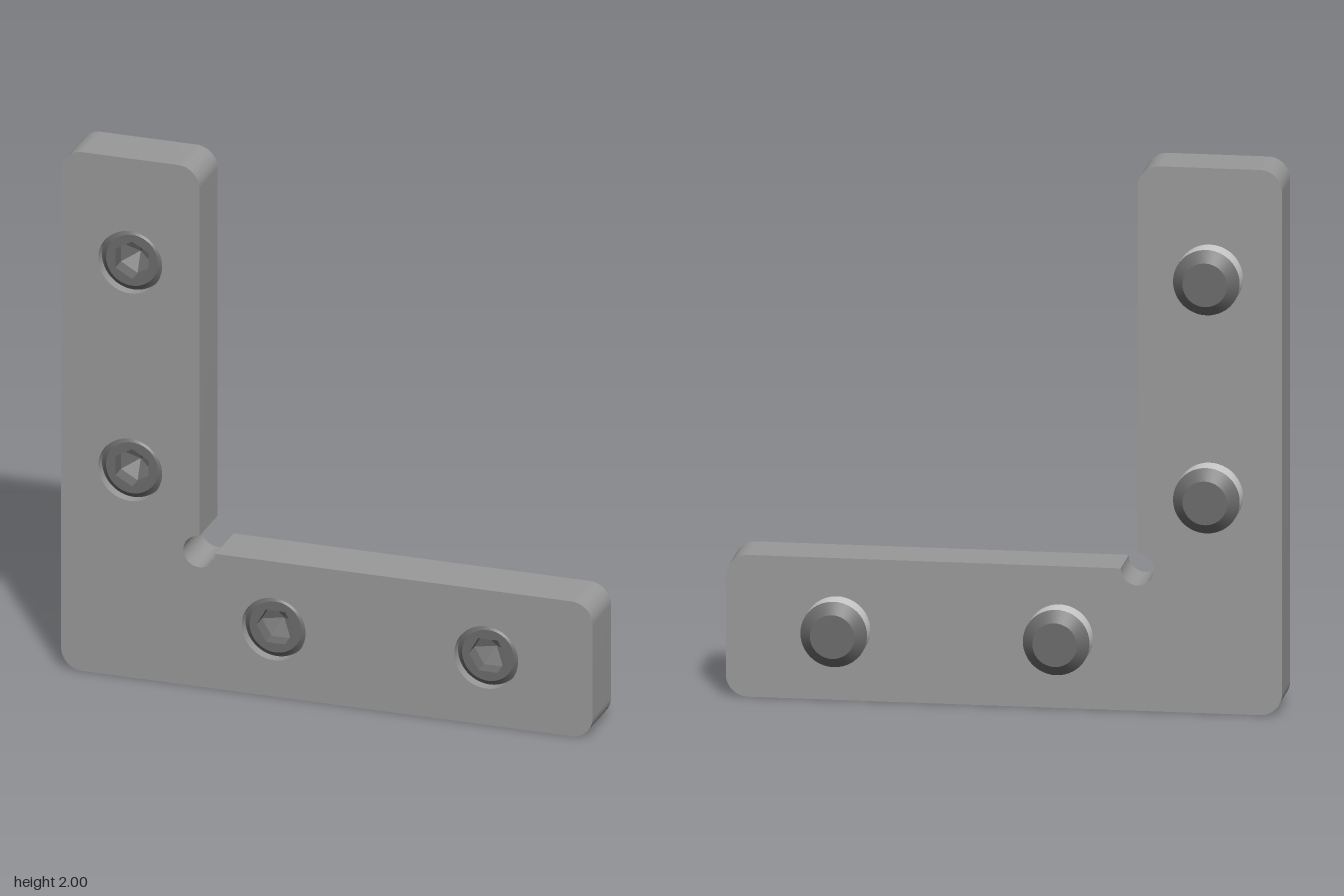
import * as THREE from 'three';
import { toCreasedNormals } from 'three/addons/utils/BufferGeometryUtils.js';

const BACK = -0.04, FRONT = 0.16;   // plate faces
const HOLE = 0.12;                  // screw hole radius
const FACE = 0.14, HEX = 0.072;     // screw head level and socket radius
// x, y, socket turn
const SCREWS = [
  [-0.74, 1.6, 0],
  [-0.74, 0.8, 0],
  [-0.2, 0.26, Math.PI / 6],
  [0.6, 0.26, Math.PI / 6],
];

export function createModel() {
  const model = new THREE.Group();
  model.name = 'cornerBracket';

  const material = (name, color) => {
    const m = new THREE.MeshStandardMaterial({ color });
    m.name = name;
    return m;
  };
  const plateGrey = material('plate grey', 0x999999);
  const darkSteel = material('dark steel', 0x6b6b6b);
  const lightSteel = material('light steel', 0xcccccc);

  const add = (parent, name, geometry, mat) => {
    const mesh = new THREE.Mesh(geometry, mat);
    mesh.name = name;
    parent.add(mesh);
  };

  // Surface turned around z from [radius, z] points, with sharp edges
  const turned = (points, sides = 48) => {
    const g = new THREE.LatheGeometry(points.map(([r, z]) => new THREE.Vector2(r, z)), sides);
    g.rotateX(Math.PI / 2);
    return toCreasedNormals(g, 0.4);
  };

  // L-shaped plate with rounded corners and a relief notch at the inner corner
  const r = 0.08, q = Math.PI / 2;
  const outline = new THREE.Shape();
  outline.moveTo(-1 + r, 0);
  outline.absarc(1 - r, r, r, -q, 0);
  outline.absarc(1 - r, 0.52 - r, r, 0, q);
  outline.absarc(-0.48, 0.52, 0.06, 0, q, true);
  outline.absarc(-0.48 - r, 2 - r, r, 0, q);
  outline.absarc(-1 + r, 2 - r, r, q, 2 * q);
  outline.absarc(-1 + r, r, r, 2 * q, 3 * q);
  for (const [x, y] of SCREWS) {
    outline.holes.push(new THREE.Path().absarc(x, y, HOLE, 0, Math.PI * 2, true));
  }
  const plate = new THREE.ExtrudeGeometry(outline, {
    depth: FRONT - BACK, bevelEnabled: false, curveSegments: 24,
  });
  plate.translate(0, 0, BACK);
  add(model, 'plate', toCreasedNormals(plate, 0.5), plateGrey);

  // Screw head face with its hexagonal opening
  const face = new THREE.Shape().absarc(0, 0, 0.098, 0, Math.PI * 2);
  const corners = [];
  for (let i = 0; i < 6; i++) {
    const a = Math.PI / 2 - i * Math.PI / 3;
    corners.push(new THREE.Vector2(HEX * Math.cos(a), HEX * Math.sin(a)));
  }
  face.holes.push(new THREE.Path(corners));

  const tipGeometry = turned([[0, -0.16], [0.08, -0.16], [HOLE, -0.12]]);
  const shaftGeometry = turned([[HOLE, -0.12], [HOLE, BACK + 0.01]]);
  const rimGeometry = turned([[HOLE, 0.12], [0.112, 0.125], [0.098, FACE]]);
  const faceGeometry = new THREE.ShapeGeometry(face, 24);
  faceGeometry.translate(0, 0, FACE);
  // Six-sided walls ending in a shallow pointed floor
  const socketGeometry = turned([[HEX, FACE], [HEX, 0.08], [0, 0.045]], 6);

  SCREWS.forEach(([x, y, turn], i) => {
    const screw = new THREE.Group();
    screw.name = `setScrew${i + 1}`;
    screw.position.set(x, y, 0);
    screw.rotation.z = turn;
    add(screw, 'screwTip', tipGeometry, darkSteel);
    add(screw, 'screwShaft', shaftGeometry, lightSteel);
    add(screw, 'screwRim', rimGeometry, darkSteel);
    add(screw, 'screwFace', faceGeometry, darkSteel);
    add(screw, 'hexSocket', socketGeometry, darkSteel);
    model.add(screw);
  });

  return model;
}
